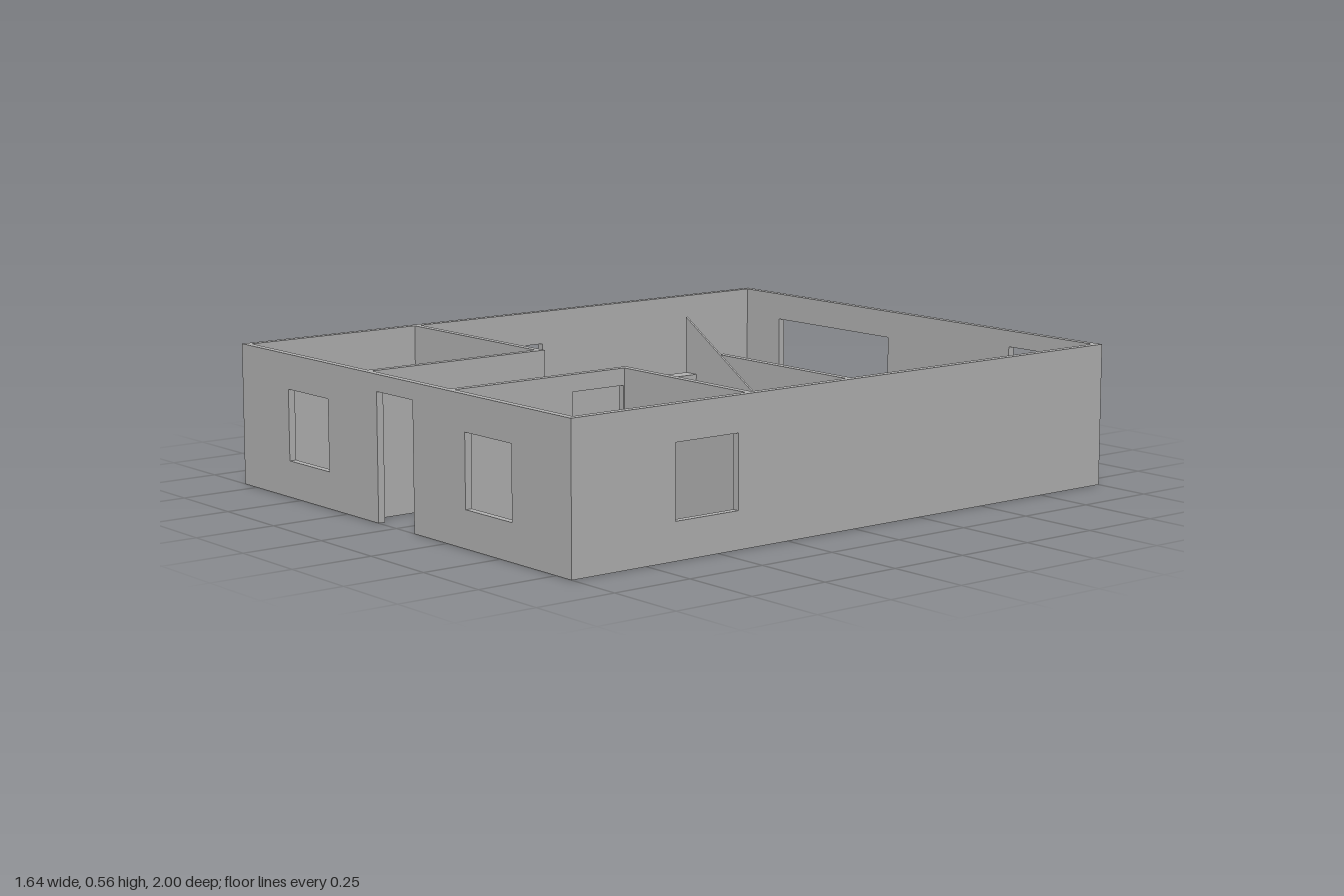
import * as THREE from 'three';

const T = 0.022;   // wall thickness
const H = 0.43;    // wall height
const DOOR = 0.38; // door head height

const plaster = new THREE.MeshStandardMaterial({ color: 0xb2b2b2 });
plaster.name = 'grey plaster';

function extrude(name, shape, depth) {
  const geometry = new THREE.ExtrudeGeometry(shape, { depth, bevelEnabled: false });
  const mesh = new THREE.Mesh(geometry, plaster);
  mesh.name = name;
  return mesh;
}

const polygon = (points) => new THREE.Shape(points.map(([x, y]) => new THREE.Vector2(x, y)));

// Wall running from a to b; doors are [start, end], windows [start, end, sill, head]
function wall(name, axis, a, b, at, doors = [], windows = []) {
  const outline = [[a, 0]];
  for (const [s, e] of doors) outline.push([s, 0], [s, DOOR], [e, DOOR], [e, 0]);
  outline.push([b, 0], [b, H], [a, H]);
  const shape = polygon(outline);
  for (const [s, e, y0, y1] of windows) {
    const hole = new THREE.Path();
    hole.moveTo(s, y0).lineTo(s, y1).lineTo(e, y1).lineTo(e, y0).closePath();
    shape.holes.push(hole);
  }
  const mesh = extrude(name, shape, T);
  if (axis === 'x') mesh.geometry.translate(0, 0, at);
  else mesh.geometry.rotateY(-Math.PI / 2).translate(at + T, 0, 0);
  return mesh;
}

// Half-turn staircase: two folded flights, a landing and two sloping balustrades
function stairs() {
  const group = new THREE.Group();
  group.name = 'staircase';
  const x0 = 0.31, run = 0.047, rise = 0.0269, steps = 7, slab = 0.012;
  const x1 = x0 + run * steps, mid = rise * 8;

  function flight(name, startX, dir, baseY, z0, z1) {
    const top = [], under = [];
    for (let i = 0; i < steps; i++) {
      const x = startX + dir * run * i, y = baseY + rise * i;
      top.push([x, y], [x, y + rise]);
      under.push([x + dir * slab, Math.max(y - slab, baseY)], [x + dir * slab, y + rise - slab]);
    }
    const endX = startX + dir * run * steps, endY = baseY + rise * steps;
    top.push([endX, endY]);
    under.push([endX, endY - slab]);
    const mesh = extrude(name, polygon([...top, ...under.reverse()]), z1 - z0);
    mesh.position.z = z0;
    group.add(mesh);
  }
  flight('lowerFlight', x0, 1, 0, T, 0.186);
  flight('upperFlight', x1, -1, mid, 0.199, 0.367);

  // Landing with its riser edge
  const landing = new THREE.Mesh(new THREE.BoxGeometry(0.8 - x1, rise, 0.345), plaster);
  landing.name = 'landing';
  landing.position.set((0.8 + x1) / 2, mid - rise / 2, T + 0.345 / 2);
  group.add(landing);

  const lower = extrude('lowerBalustrade',
    polygon([[x0, 0], [0.705, 0.2], [0.705, 0.385], [x0, 0.15]]), 0.006);
  lower.position.z = 0.186;
  const upper = extrude('upperBalustrade',
    polygon([[x0, 0.4], [0.705, 0.17], [0.705, 0.324], [x0, 0.565]]), 0.006);
  upper.position.z = 0.193;
  group.add(lower, upper);
  return group;
}

export function createModel() {
  const model = new THREE.Group();
  model.name = 'housePlan';
  const X = 0.818, Z = 1, sill = 0.11, head = 0.325;

  // Outer walls
  model.add(
    wall('frontWall', 'x', -X, X, Z - T, [[-0.09, 0.09]],
      [[-0.56, -0.345, sill, head], [0.34, 0.555, sill, head]]),
    wall('backWall', 'x', -X, X, -Z, [[0.45, 0.63]], [[-0.63, -0.095, 0.09, 0.345]]),
    wall('leftWall', 'z', -Z + T, Z - T, X - T, [], [[0.43, 0.65, sill, head]]),
    wall('rightWall', 'z', -Z + T, Z - T, -X, [], [[-0.107, 0.107, sill, head]]),
  );

  // Partitions around the two front rooms and the stairwell
  model.add(
    wall('rightRoomBackWall', 'x', -X + T, -0.145, 0.367, [[-0.355, -0.17]]),
    wall('rightRoomSideWall', 'z', 0.367 + T, Z - T, -0.145 - T),
    wall('leftRoomSideWall', 'z', 0.367, Z - T, 0.243, [[0.392, 0.575]]),
    wall('leftRoomBackWall', 'x', 0.243 + T, X - T, 0.367),
    wall('stairwellWall', 'x', 0.243, X - T, 0),
  );

  model.add(stairs());
  return model;
}
